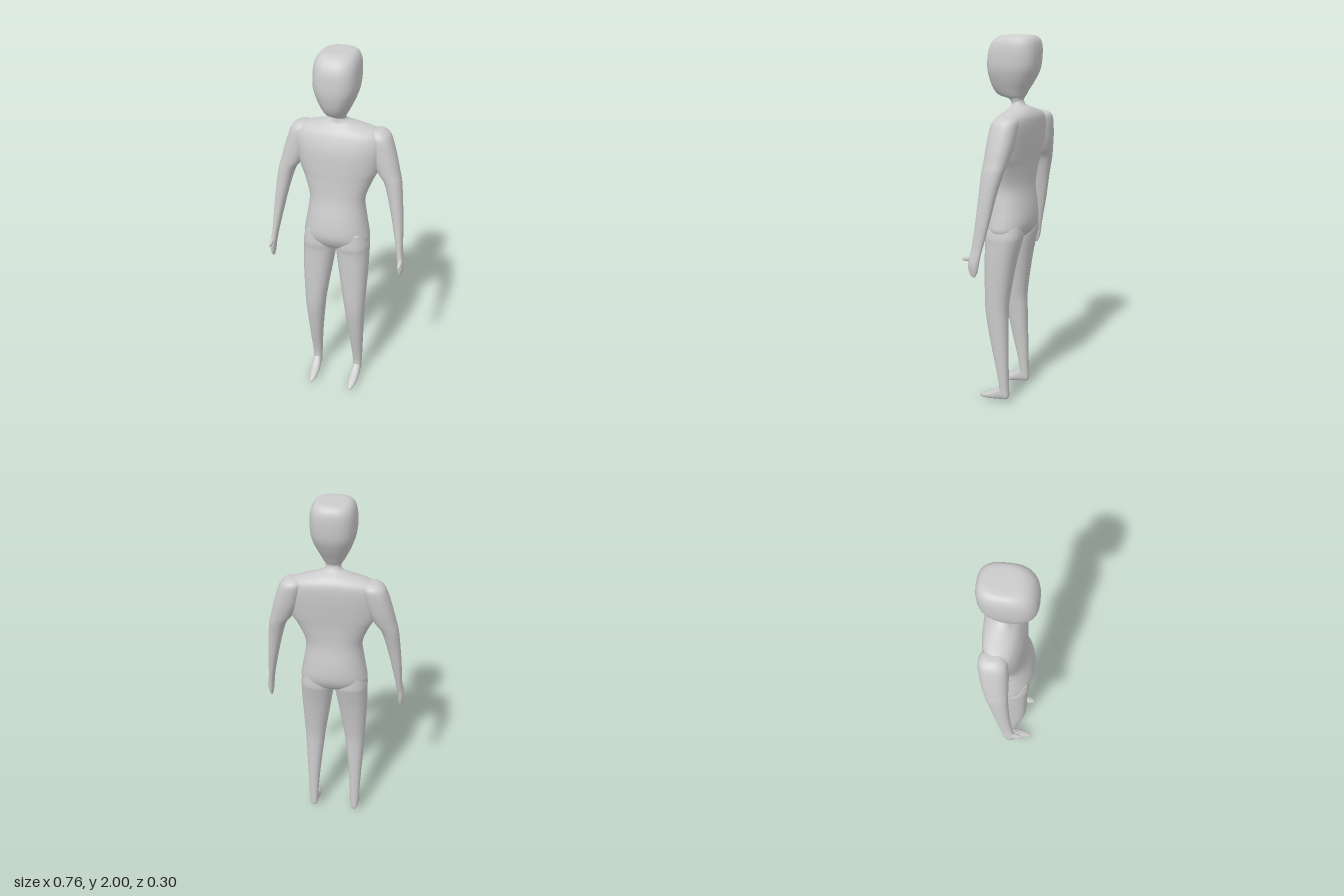
import * as THREE from 'three';

const SIDES = 28, STEPS = 4;

// Closed skin through sections [t, uMin, uMax, vMin, vMax, vMid, power].
// place(t, u, v) turns section coordinates into a point; mirror = -1 swaps sides.
function loft(sections, place, mirror = 1) {
  const rows = [];
  const last = sections.length - 1;
  const cr = (a, b, c, d, f) => {
    const m0 = (c - a) / 2, m1 = (d - b) / 2, f2 = f * f, f3 = f2 * f;
    return (2 * f3 - 3 * f2 + 1) * b + (f3 - 2 * f2 + f) * m0 + (3 * f2 - 2 * f3) * c + (f3 - f2) * m1;
  };
  for (let i = 0; i < last; i++) {
    const [a, b, c, d] = [-1, 0, 1, 2].map(o => sections[Math.min(last, Math.max(0, i + o))]);
    for (let s = 0; s < STEPS; s++) rows.push(b.map((_, k) => cr(a[k], b[k], c[k], d[k], s / STEPS)));
  }
  rows.push(sections[last]);

  const pos = [], idx = [];
  const tri = (a, b, c) => (mirror > 0 ? idx.push(a, b, c) : idx.push(a, c, b));
  const add = (t, u, v) => { const p = place(t, u, v); pos.push(p[0] * mirror, p[1], p[2]); };
  for (const [t, u0, u1, v0, v1, vm, n] of rows) {
    for (let j = 0; j < SIDES; j++) {
      const a = (j / SIDES) * Math.PI * 2, c = Math.cos(a), s = Math.sin(a);
      const cu = Math.sign(c) * Math.abs(c) ** (2 / n), sv = Math.sign(s) * Math.abs(s) ** (2 / n);
      add(t, (u0 + u1) / 2 + cu * (u1 - u0) / 2, vm + sv * (s > 0 ? v1 - vm : vm - v0));
    }
  }
  for (let i = 0; i < rows.length - 1; i++) {
    for (let j = 0; j < SIDES; j++) {
      const k = (j + 1) % SIDES, p = i * SIDES, q = p + SIDES;
      tri(p + j, p + k, q + j);
      tri(p + k, q + k, q + j);
    }
  }
  // end caps
  const first = rows[0], end = rows[rows.length - 1], base = (rows.length - 1) * SIDES;
  const n0 = rows.length * SIDES;
  for (const r of [first, end]) add(r[0], (r[1] + r[2]) / 2, r[5]);
  for (let j = 0; j < SIDES; j++) {
    const k = (j + 1) % SIDES;
    tri(n0, k, j);
    tri(n0 + 1, base + j, base + k);
  }
  const g = new THREE.BufferGeometry();
  g.setAttribute('position', new THREE.Float32BufferAttribute(pos, 3));
  g.setIndex(idx);
  g.computeVertexNormals();
  return g;
}

const upright = (t, u, v) => [u, t, v];
const forward = (t, u, v) => [u, v, t];
// centred section: height, half width, back, front, side line, roundness
const mid = ([y, w, b, f, m, n]) => [y, -w, w, b, f, m, n];
// limb section: sides at half depth
const limb = n => ([t, u0, u1, v0, v1]) => [t, u0, u1, v0, v1, (v0 + v1) / 2, n];

const HEAD = [
  [2.0, 0.045, -0.095, 0.02, -0.035, 2.6],
  [1.995, 0.078, -0.122, 0.058, -0.03, 2.7],
  [1.97, 0.1, -0.142, 0.095, -0.02, 2.8],
  [1.92, 0.11, -0.148, 0.12, -0.01, 2.8],
  [1.84, 0.109, -0.141, 0.128, 0, 2.7],
  [1.78, 0.092, -0.115, 0.121, 0, 2.5],
  [1.73, 0.069, -0.085, 0.103, 0, 2.4],
  [1.7, 0.053, -0.068, 0.075, -0.01, 2.3],
  [1.685, 0.041, -0.059, 0.022, -0.025, 2.1],
  [1.66, 0.037, -0.056, 0, -0.028, 2],
  [1.63, 0.036, -0.056, 0, -0.028, 2],
].map(mid);

const TORSO = [
  [1.68, 0.035, -0.056, 0, -0.03, 2],
  [1.655, 0.045, -0.068, 0.002, -0.035, 2],
  [1.635, 0.1, -0.098, 0.008, -0.05, 2.1],
  [1.607, 0.195, -0.12, 0.035, -0.058, 2.2],
  [1.57, 0.235, -0.127, 0.055, -0.058, 2.3],
  [1.5, 0.235, -0.124, 0.076, -0.055, 2.3],
  [1.4, 0.212, -0.113, 0.083, -0.045, 2.3],
  [1.34, 0.184, -0.107, 0.085, -0.03, 2.3],
  [1.235, 0.149, -0.105, 0.095, -0.005, 2.3],
  [1.13, 0.16, -0.119, 0.12, 0, 2.2],
  [1.05, 0.174, -0.122, 0.131, 0, 2.2],
  [1.0, 0.178, -0.107, 0.119, 0, 2.2],
  [0.96, 0.14, -0.075, 0.09, 0, 2.2],
  [0.93, 0.04, -0.02, 0.04, 0.01, 2],
].map(mid);

const ARM = [
  [1.61, 0.175, 0.215, -0.09, -0.03],
  [1.597, 0.15, 0.243, -0.117, -0.008],
  [1.565, 0.145, 0.267, -0.128, 0.01],
  [1.47, 0.17, 0.298, -0.12, 0.018],
  [1.39, 0.207, 0.319, -0.104, 0.02],
  [1.34, 0.243, 0.332, -0.092, 0.021],
  [1.235, 0.275, 0.346, -0.066, 0.025],
  [1.1, 0.307, 0.359, -0.04, 0.035],
  [0.97, 0.334, 0.368, -0.011, 0.05],
  [0.92, 0.342, 0.376, 0, 0.06],
  [0.88, 0.347, 0.38, 0.006, 0.066],
  [0.84, 0.352, 0.375, 0.015, 0.06],
  [0.815, 0.358, 0.369, 0.027, 0.047],
].map(limb(2.3));

const THUMB = [
  [0.03, 0.35, 0.372, 0.895, 0.94],
  [0.06, 0.353, 0.376, 0.895, 0.925],
  [0.085, 0.355, 0.374, 0.895, 0.915],
  [0.098, 0.361, 0.369, 0.901, 0.908],
].map(limb(2.2));

const LEG = [
  [1.06, 0.015, 0.16, -0.095, 0.105],
  [0.98, 0.002, 0.179, -0.099, 0.113],
  [0.93, 0.004, 0.181, -0.088, 0.107],
  [0.81, 0.021, 0.181, -0.06, 0.106],
  [0.6, 0.053, 0.173, -0.028, 0.104],
  [0.49, 0.066, 0.168, -0.026, 0.094],
  [0.31, 0.085, 0.16, -0.03, 0.06],
  [0.15, 0.097, 0.153, -0.034, 0.024],
  [0.09, 0.1, 0.15, -0.036, 0.02],
  [0.05, 0.101, 0.149, -0.037, 0.028],
  [0.03, 0.11, 0.14, -0.025, 0.02],
].map(limb(2.4));

const FOOT = [
  [-0.037, 0.116, 0.134, 0.038, 0.06],
  [-0.026, 0.104, 0.146, 0.025, 0.09],
  [0.01, 0.1, 0.15, 0.018, 0.1],
  [0.06, 0.095, 0.15, 0.01, 0.062],
  [0.11, 0.098, 0.143, 0.003, 0.037],
  [0.138, 0.106, 0.133, 0.001, 0.022],
  [0.15, 0.115, 0.125, 0.004, 0.012],
].map(limb(2.2));

export function createModel() {
  const model = new THREE.Group();
  model.name = 'figure';
  const material = new THREE.MeshStandardMaterial({ color: 0xcccccc });
  const part = (name, geometry) => {
    const mesh = new THREE.Mesh(geometry, material);
    mesh.name = name;
    model.add(mesh);
  };

  part('head', loft(HEAD, upright));
  part('torso', loft(TORSO, upright));

  // paired limbs
  for (const [side, m] of [['left', 1], ['right', -1]]) {
    part(side + 'Arm', loft(ARM, upright, m));
    part(side + 'Thumb', loft(THUMB, forward, m));
    part(side + 'Leg', loft(LEG, upright, m));
    part(side + 'Foot', loft(FOOT, forward, m));
  }
  return model;
}
